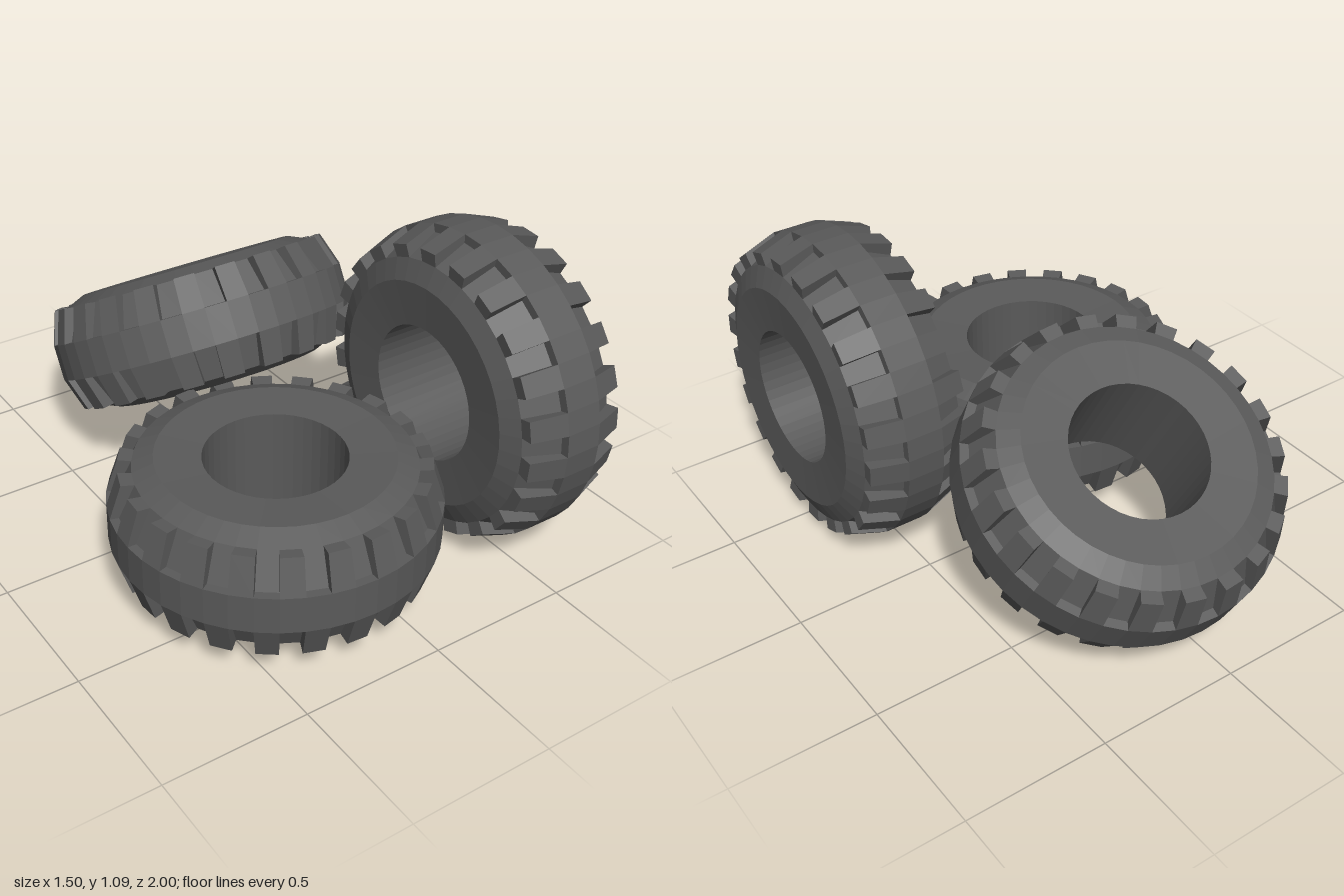
import * as THREE from 'three';

const SEGMENTS = 44; // lugs and grooves alternate, one per segment

// half cross-sections as [radius, height], from the bore out to the crown
const SIDE = [[0.236, 0.2], [0.39, 0.21], [0.46, 0.18]];
const LUG = [[0.505, 0.185], [0.545, 0.065]];
const GROOVE = [[0.515, 0.065], [0.545, 0.065]];
// end face between a lug and the neighbouring groove
const LUG_WALL = [SIDE[2], LUG[0], LUG[1], GROOVE[0]];

function tireGeometry() {
  const positions = [];
  const point = ([r, h], a) => [r * Math.sin(a), h, r * Math.cos(a)];
  const quad = (a, b, c, d) => positions.push(...a, ...b, ...c, ...a, ...c, ...d);
  const flip = (profile) => profile.map(([r, h]) => [r, -h]).reverse();

  for (let i = 0; i < SEGMENTS; i++) {
    const a0 = (i / SEGMENTS) * Math.PI * 2;
    const a1 = ((i + 1) / SEGMENTS) * Math.PI * 2;
    const upperLug = i % 2 === 0; // the two shoulders are staggered

    // closed ring profile swept across this segment
    const ring = [
      ...SIDE, ...(upperLug ? LUG : GROOVE),
      ...flip([...SIDE, ...(upperLug ? GROOVE : LUG)]),
    ];
    ring.forEach((p, k) => {
      const q = ring[(k + 1) % ring.length];
      quad(point(p, a0), point(q, a0), point(q, a1), point(p, a1));
    });

    // walls on both ends of this segment's lug
    const wall = upperLug ? LUG_WALL : flip(LUG_WALL);
    quad(...wall.map((p) => point(p, a1)));
    quad(...wall.map((p) => point(p, a0)).reverse());
  }

  const geometry = new THREE.BufferGeometry();
  geometry.setAttribute('position', new THREE.Float32BufferAttribute(positions, 3));
  geometry.computeVertexNormals();
  return geometry;
}

export function createModel() {
  const group = new THREE.Group();
  group.name = 'tirePile';
  const geometry = tireGeometry();
  const rubber = new THREE.MeshStandardMaterial({ color: 0x5a5a5a, flatShading: true });

  const addTire = (name, position, rotation, spin = 0) => {
    const tire = new THREE.Mesh(geometry, rubber);
    tire.name = name;
    tire.position.set(...position);
    tire.rotation.set(...rotation);
    tire.rotateY(spin);
    group.add(tire);
  };

  addTire('lyingTire', [-0.21, 0.277, 0.4], [0, 0, 0]);
  addTire('standingTire', [0.54, 0.545, 0.453], [0, 0, -Math.PI / 2], (Math.PI * 2) / SEGMENTS);
  addTire('leaningTire', [0.055, 0.475, -0.474], [-Math.PI / 6, 0, 0]);
  return group;
}
